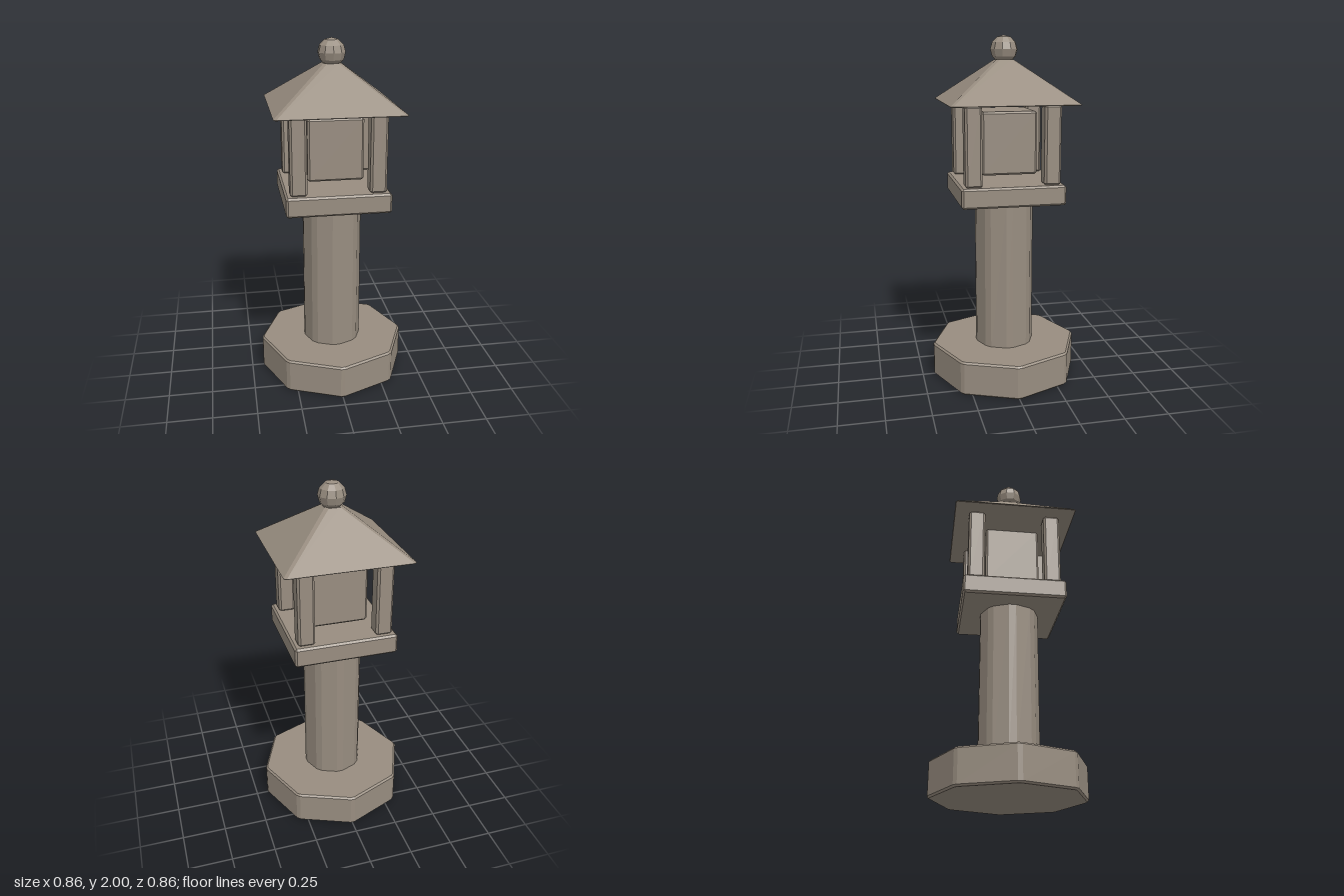
import * as THREE from 'three';

// Ring of an n-sided polygon (apothem a) whose corners are cut back by c along each edge
function ring(n, phase, a, c, y) {
  const R = a / Math.cos(Math.PI / n);
  const t = c / (2 * R * Math.sin(Math.PI / n));
  const corner = (k) => {
    const ang = phase + (k / n) * Math.PI * 2;
    return new THREE.Vector3(R * Math.cos(ang), y, -R * Math.sin(ang));
  };
  const pts = [];
  for (let k = 0; k < n; k++) {
    pts.push(corner(k).lerp(corner(k - 1), t), corner(k).lerp(corner(k + 1), t));
  }
  return pts;
}

// Closed solid through a stack of [apothem, cornerCut, y] sections
function loft(n, phase, sections) {
  const rings = sections.map(([a, c, y]) => ring(n, phase, a, c, y));
  const m = n * 2;
  const pos = [];
  const tri = (...p) => p.forEach((v) => pos.push(v.x, v.y, v.z));
  for (let s = 0; s + 1 < rings.length; s++) {
    const lo = rings[s], hi = rings[s + 1];
    for (let i = 0; i < m; i++) {
      const j = (i + 1) % m;
      tri(lo[i], lo[j], hi[j]);
      tri(lo[i], hi[j], hi[i]);
    }
  }
  const bottom = rings[0], top = rings[rings.length - 1];
  for (let i = 1; i + 1 < m; i++) {
    tri(top[0], top[i], top[i + 1]);
    tri(bottom[0], bottom[i + 1], bottom[i]);
  }
  const g = new THREE.BufferGeometry();
  g.setAttribute('position', new THREE.Float32BufferAttribute(pos, 3));
  g.computeVertexNormals();
  return g;
}

// Square block with chamfered edges
const block = (half, y0, y1, d) => loft(4, Math.PI / 4, [
  [half - d, 0.001, y0], [half, d, y0 + d], [half, d, y1 - d], [half - d, 0.001, y1],
]);

export function createModel() {
  const group = new THREE.Group();
  const stone = new THREE.MeshStandardMaterial({ color: 0x988d80, flatShading: true });
  stone.name = 'stone';
  const add = (name, geometry, x = 0, y = 0, z = 0) => {
    const mesh = new THREE.Mesh(geometry, stone);
    mesh.name = name;
    mesh.position.set(x, y, z);
    group.add(mesh);
    return mesh;
  };

  // Octagonal foot and column, corners on the axes
  add('base', loft(8, 0, [
    [0.393, 0.01, 0], [0.403, 0.014, 0.01], [0.403, 0.014, 0.19], [0.393, 0.01, 0.2],
  ]));
  add('column', loft(8, 0, [[0.164, 0.022, 0.195], [0.164, 0.022, 1.085]]));

  // Lantern platform, light box and four posts
  add('platform', block(0.293, 1.077, 1.19, 0.011));
  add('lightBox', block(0.157, 1.235, 1.588, 0.011));
  for (const x of [-1, 1]) {
    for (const z of [-1, 1]) {
      add('post', block(0.047, 1.187, 1.63, 0.012), x * 0.22, 0, z * 0.22);
    }
  }

  // Hipped roof with softened ridges
  add('roof', loft(4, Math.PI / 4, [
    [0.35, 0.008, 1.63], [0.354, 0.014, 1.634], [0.05, 0.018, 1.865],
  ]));

  // Faceted ball on top
  add('finial', new THREE.SphereGeometry(0.078, 10, 6), 0, 1.922, 0).rotation.y = Math.PI / 2;

  return group;
}
